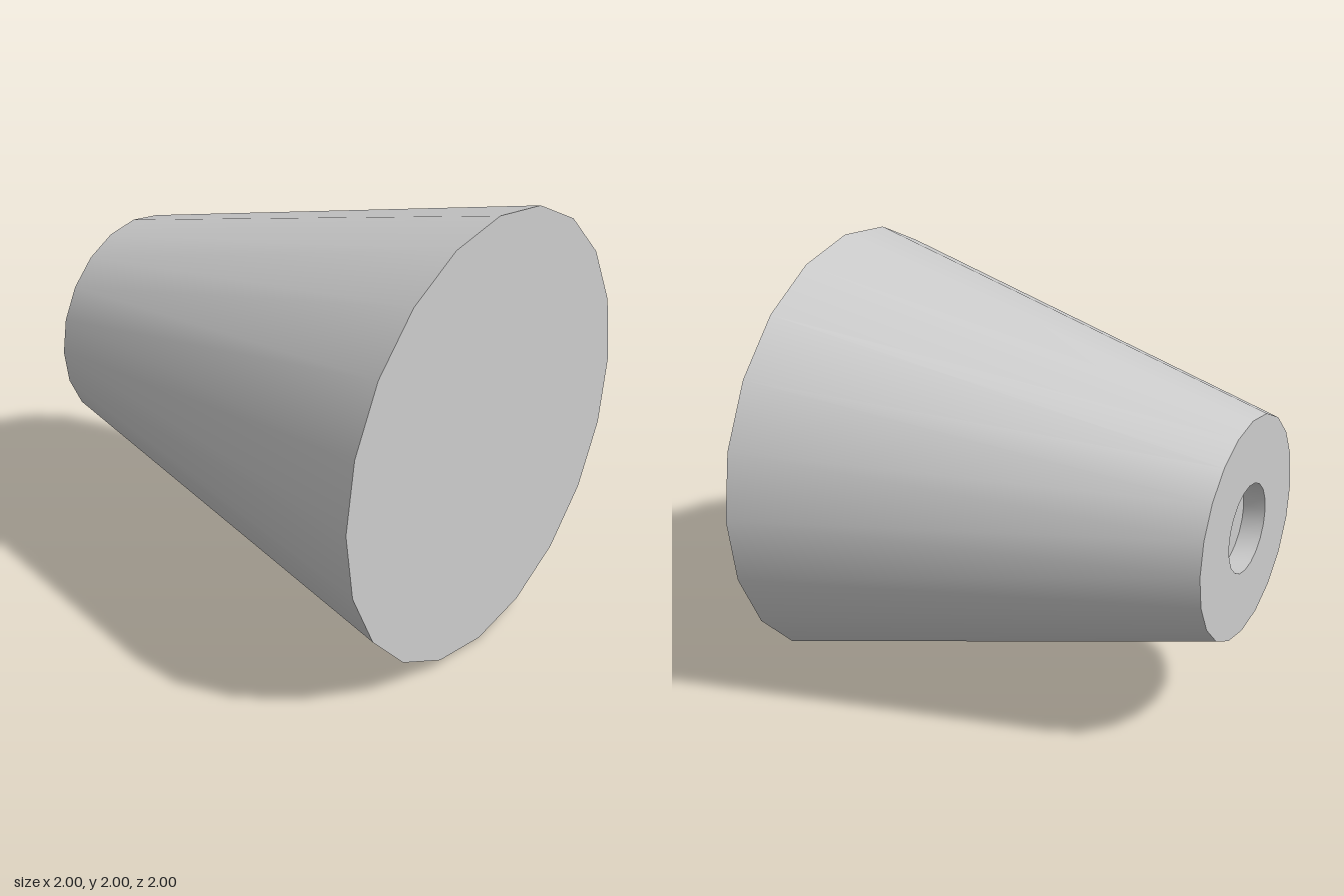
import * as THREE from 'three';
import { toCreasedNormals } from 'three/addons/utils/BufferGeometryUtils.js';

export function createModel() {
  const group = new THREE.Group();
  group.name = 'taperedPlug';

  // Profile as [radius, position along the axis], from the socket floor to the wide end
  const profile = [
    [0, -0.9], [0.2, -0.9], // socket floor
    [0.2, -1],              // socket wall
    [0.5, -1],              // narrow end ring
    [1, 1],                 // tapered side
    [0, 1],                 // wide end cap
  ].map(([r, y]) => new THREE.Vector2(r, y));

  // Smooth 20-sided cone with sharp rims, laid along x with the wide end at +x
  const geometry = toCreasedNormals(new THREE.LatheGeometry(profile, 20), 0.6);
  geometry.rotateZ(-Math.PI / 2);
  geometry.translate(0, 1, 0);

  const body = new THREE.Mesh(geometry, new THREE.MeshStandardMaterial({ color: 0xcccccc }));
  body.name = 'taperedBody';
  group.add(body);
  return group;
}
